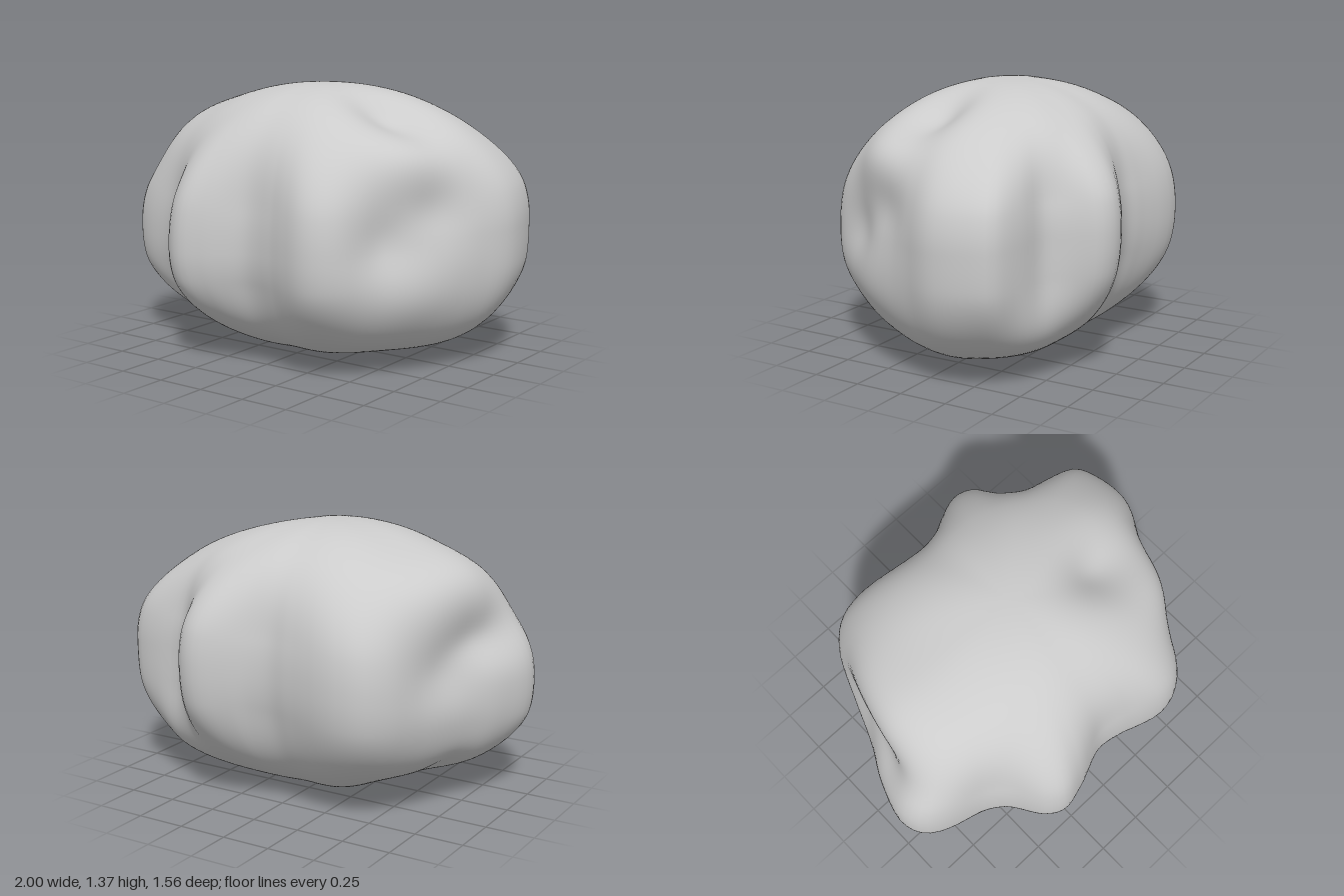
import * as THREE from 'three';
import { mergeVertices } from 'three/addons/utils/BufferGeometryUtils.js';

// Plan outline of the boulder, x and z
const OUTLINE = [
  [1, -0.15], [0.99, -0.32], [0.93, -0.46], [0.78, -0.51], [0.6, -0.53], [0.52, -0.6],
  [0.43, -0.75], [0.33, -0.785], [0.2, -0.74], [0.08, -0.68], [-0.03, -0.66], [-0.15, -0.68],
  [-0.4, -0.72], [-0.55, -0.69], [-0.65, -0.6], [-0.75, -0.4], [-0.85, -0.15], [-0.95, 0.06],
  [-1, 0.25], [-0.96, 0.36], [-0.85, 0.43], [-0.65, 0.49], [-0.55, 0.56], [-0.43, 0.73],
  [-0.34, 0.775], [-0.22, 0.75], [0, 0.67], [0.15, 0.69], [0.35, 0.75], [0.45, 0.745],
  [0.55, 0.68], [0.68, 0.48], [0.82, 0.24], [0.93, 0.02],
];

// Hollows (positive depth) and swellings (negative): centre, reach along x, y, z
const RELIEF = [
  { at: [0.5, 1.24, 0.12], reach: [0.24, 0.22, 0.17], depth: 0.09 },     // crater on top
  { at: [0.68, 1.06, 0.3], reach: [0.22, 0.16, 0.24], depth: -0.06 },    // right shoulder below it
  { at: [0.82, 0.82, 0.2], reach: [0.2, 0.15, 0.18], depth: 0.04 },      // front corner valley, upper
  { at: [0.64, 0.68, 0.44], reach: [0.16, 0.17, 0.18], depth: 0.055 },   // front corner valley, lower
  { at: [0.78, 0.44, 0.34], reach: [0.25, 0.18, 0.25], depth: -0.035 },  // lobe under that valley
  { at: [-0.7, 1.12, -0.14], reach: [0.22, 0.2, 0.4], depth: -0.085 },   // left shoulder
  { at: [-0.88, 0.88, 0.02], reach: [0.2, 0.13, 0.25], depth: 0.07 },    // valley under the shoulder
  { at: [-0.78, 0.74, -0.28], reach: [0.2, 0.15, 0.2], depth: 0.045 },   // its rear end
  { at: [0.58, 0.32, -0.5], reach: [0.18, 0.22, 0.18], depth: -0.05 },   // filled foot of the groove
  { at: [-0.5, 0.08, 0], reach: [0.24, 0.2, 0.45], depth: 0.07 },        // underside hollow, left
  { at: [0.42, 0, 0], reach: [0.28, 0.2, 0.45], depth: 0.04 },           // underside hollow, right
  { at: [-0.72, 0.2, -0.1], reach: [0.12, 0.12, 0.12], depth: 0.03 },    // underside crater
];

const STEPS = 360;
const TAU = Math.PI * 2;

// Radius by angle, plus a softened copy used towards the poles
function radiusTables() {
  const curve = new THREE.CatmullRomCurve3(
    OUTLINE.map(([x, z]) => new THREE.Vector3(x, 0, z)), true);
  const pts = curve.getPoints(1500).map((p) => ({
    a: (Math.atan2(p.z, p.x) + TAU) % TAU, r: Math.hypot(p.x, p.z),
  })).sort((p, q) => p.a - q.a);
  const sharp = [];
  for (let i = 0, k = 0; i < STEPS; i++) {
    while (k < pts.length - 1 && pts[k].a < (i / STEPS) * TAU) k++;
    sharp.push(pts[k].r);
  }
  const soft = sharp.map((_, i) => {
    let sum = 0;
    for (let d = -24; d <= 24; d++) sum += sharp[(i + d + STEPS) % STEPS];
    return sum / 49;
  });
  return { sharp, soft };
}

function sample(table, a) {
  const f = ((a + TAU) % TAU) / TAU * STEPS;
  const i = Math.floor(f);
  return THREE.MathUtils.lerp(table[i % STEPS], table[(i + 1) % STEPS], f - i);
}

function boulderGeometry() {
  const { sharp, soft } = radiusTables();
  const sphere = new THREE.SphereGeometry(1, 160, 96);
  sphere.deleteAttribute('normal');
  sphere.deleteAttribute('uv');
  const geo = mergeVertices(sphere, 1e-5);
  const pos = geo.attributes.position;
  const p = new THREE.Vector3();
  const centre = new THREE.Vector3(0, 0.66, 0);

  for (let i = 0; i < pos.count; i++) {
    p.fromBufferAttribute(pos, i);
    const flat = Math.hypot(p.x, p.z);
    const c = flat > 1e-4 ? p.x / flat : 0;
    const s = flat > 1e-4 ? p.z / flat : 0;
    const a = Math.atan2(s, c);

    // Meridian is a superellipse, squarest low on the right end
    const up = p.y > 0;
    const n = up ? 2.2 - 0.08 * c * c : 2.06 + (c > 0 ? 1.0 : 0.4) * c * c;
    const k = Math.pow(Math.pow(flat, n) + Math.pow(Math.abs(p.y), n), -1 / n);
    const fade = THREE.MathUtils.smoothstep(Math.abs(p.y), 0.25, 0.88);
    const r = THREE.MathUtils.lerp(sample(sharp, a), sample(soft, a), fade) * flat * k;
    const mid = 0.65 + (0.04 * c - 0.06 * s) * Math.min(1, flat * 1.5);
    const y = mid + p.y * k * (up ? 1.375 - mid : mid);
    p.set(c * r, y, s * r);

    // Press hollows in towards the centre and swell lobes out
    let push = 0;
    for (const { at, reach, depth } of RELIEF) {
      const d2 = ((p.x - at[0]) / reach[0]) ** 2 + ((p.y - at[1]) / reach[1]) ** 2
        + ((p.z - at[2]) / reach[2]) ** 2;
      push += depth * Math.exp(-d2);
    }
    p.addScaledVector(centre.clone().sub(p).normalize(), push);
    pos.setXYZ(i, p.x, p.y, p.z);
  }
  geo.computeVertexNormals();
  return geo;
}

export function createModel() {
  const group = new THREE.Group();
  group.name = 'rock';
  const boulder = new THREE.Mesh(
    boulderGeometry(), new THREE.MeshStandardMaterial({ color: 0xcccccc }));
  boulder.name = 'boulder';
  group.add(boulder);
  return group;
}
